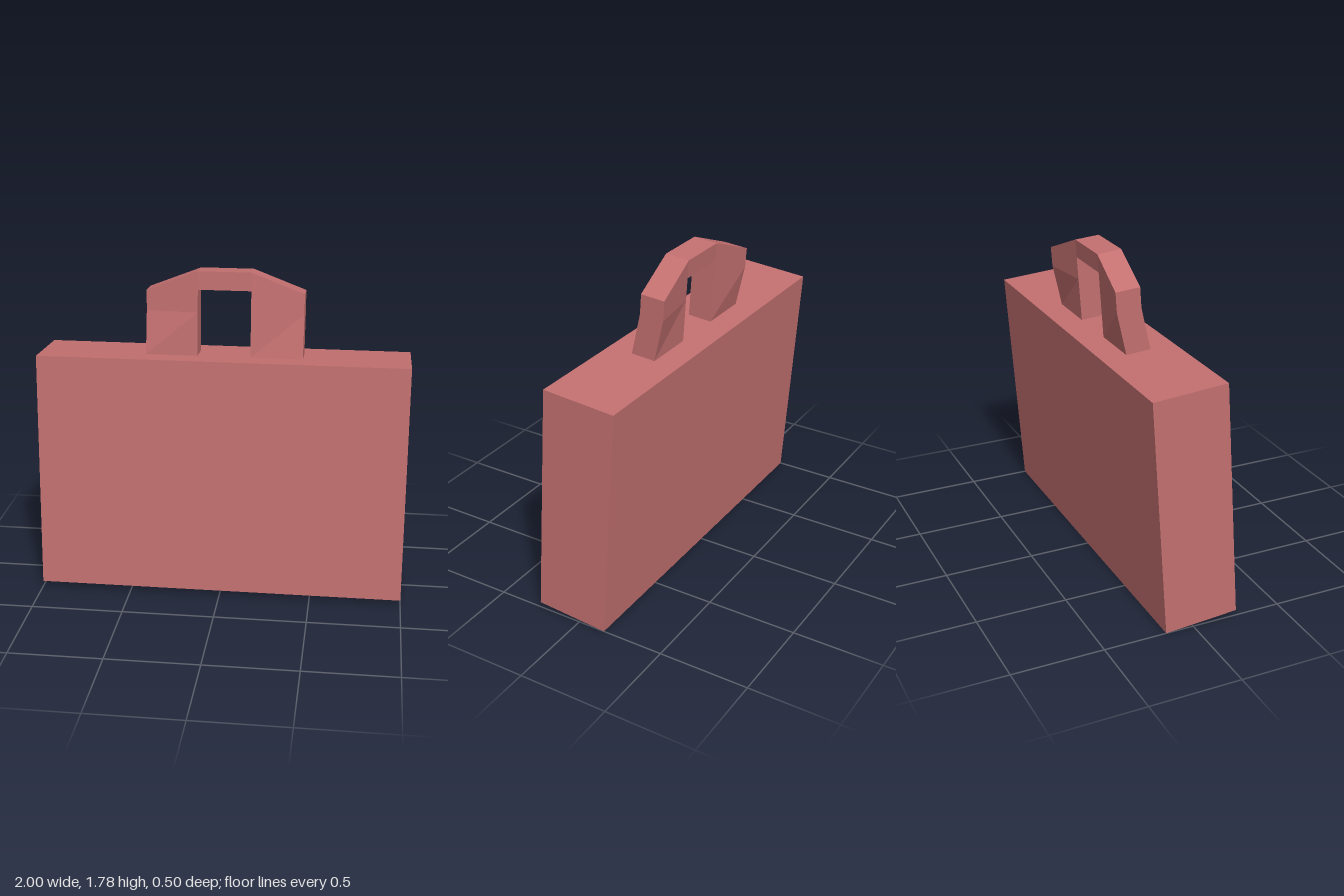
import * as THREE from 'three';

// Arched handle: one four-cornered ring per station, carried from the left foot to the right foot
function handleGeometry() {
  const half = 0.068; // half thickness
  // outer x, outer y, inner x, inner y, backward bend of the outer edge
  const leftSide = [
    [0.425, 0.651, 0.143, 0.651, 0],
    [0.425, 0.886, 0.143, 0.886, -0.036],
    [0.425, 0.996, 0.143, 1.01, -0.036],
    [0.143, 1.109, 0.143, 1.01, 0],
  ];
  const rightSide = leftSide.map(([ox, oy, ix, iy, b]) => [-ox, oy, -ix, iy, b]).reverse();
  const rings = [...leftSide, ...rightSide].map(([ox, oy, ix, iy, b]) => [
    new THREE.Vector3(ox, oy, half + b),
    new THREE.Vector3(ox, oy, -half + b),
    new THREE.Vector3(ix, iy, -half),
    new THREE.Vector3(ix, iy, half),
  ]);

  const points = [];
  const addTriangle = (a, b, c) => {
    if (!a.equals(b) && !b.equals(c) && !c.equals(a)) points.push(a, b, c);
  };
  for (let i = 0; i < rings.length - 1; i++) {
    for (let j = 0; j < 4; j++) {
      const k = (j + 1) % 4;
      addTriangle(rings[i][j], rings[i][k], rings[i + 1][k]);
      addTriangle(rings[i][j], rings[i + 1][k], rings[i + 1][j]);
    }
  }
  const geometry = new THREE.BufferGeometry().setFromPoints(points);
  geometry.computeVertexNormals();
  return geometry;
}

export function createModel() {
  const model = new THREE.Group();
  model.name = 'briefcase';
  const material = new THREE.MeshStandardMaterial({ color: 0xc47070, flatShading: true });

  // The whole case leans slightly backward
  const leaning = new THREE.Group();
  leaning.name = 'leaningCase';
  leaning.position.y = 0.664;
  leaning.rotation.x = -0.073;
  model.add(leaning);

  const body = new THREE.Mesh(new THREE.BoxGeometry(2, 1.302, 0.406), material);
  body.name = 'body';
  const handle = new THREE.Mesh(handleGeometry(), material);
  handle.name = 'handle';
  leaning.add(body, handle);

  return model;
}
